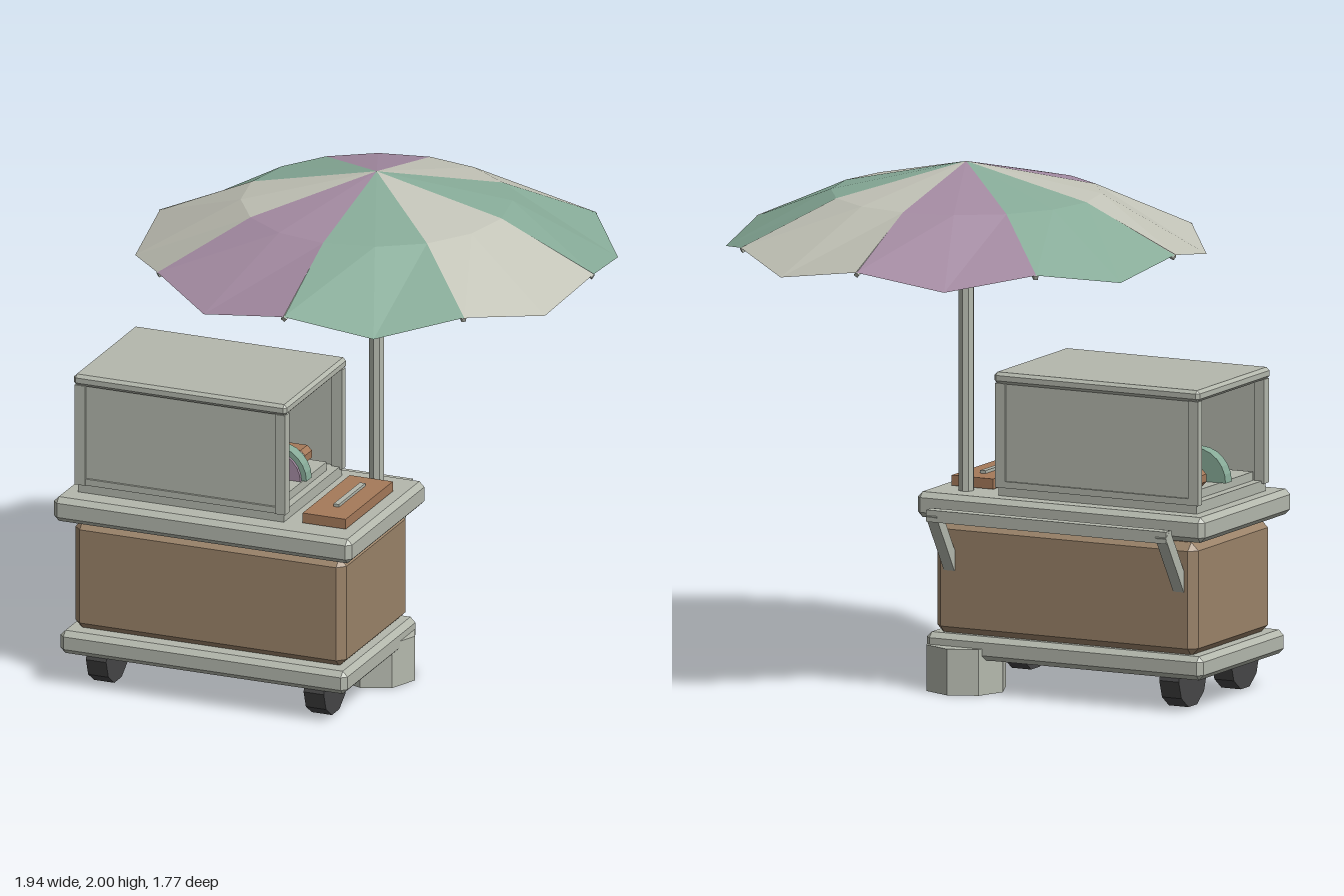
import * as THREE from 'three';
import { ConvexGeometry } from 'three/addons/geometries/ConvexGeometry.js';

const mat = (name, color, side = THREE.FrontSide) =>
  new THREE.MeshStandardMaterial({ name, color, side });

export function createModel() {
  const metal = mat('pale grey metal', 0xb4b8ad);
  const wood = mat('cabinet wood', 0x9b8369);
  const board = mat('board wood', 0xa57a5a);
  const rubber = mat('dark rubber', 0x464647);
  const green = mat('sage green', 0x87ab98, THREE.DoubleSide);
  const purple = mat('dusty purple', 0xa48ba2, THREE.DoubleSide);
  const cream = mat('cream cloth', 0xc2c3b7, THREE.DoubleSide);

  const model = new THREE.Group();
  model.name = 'vendingCart';

  // Adds a faceted mesh
  function add(name, geometry, material, x = 0, y = 0, z = 0, parent = model) {
    const flat = geometry.index ? geometry.toNonIndexed() : geometry;
    flat.computeVertexNormals();
    const mesh = new THREE.Mesh(flat, material);
    mesh.name = name;
    mesh.position.set(x, y, z);
    parent.add(mesh);
    return mesh;
  }

  // Box given by its limits; c is the width of the chamfer on every edge
  function box(name, material, [x0, x1], [y0, y1], [z0, z1], c = 0, parent = model) {
    const w = x1 - x0, h = y1 - y0, d = z1 - z0;
    let geometry = new THREE.BoxGeometry(w, h, d);
    if (c) {
      const points = [];
      for (const sx of [-1, 1]) for (const sy of [-1, 1]) for (const sz of [-1, 1]) {
        const X = w / 2, Y = h / 2, Z = d / 2;
        for (const [a, b, e] of [[0, c, c], [c, 0, c], [c, c, 0]])
          points.push(new THREE.Vector3(sx * (X - a), sy * (Y - b), sz * (Z - e)));
      }
      geometry = new ConvexGeometry(points);
    }
    return add(name, geometry, material, (x0 + x1) / 2, (y0 + y1) / 2, (z0 + z1) / 2, parent);
  }

  // Four-sided rod between two points
  function rod(name, a, b, radius, parent) {
    const dir = b.clone().sub(a);
    const mid = a.clone().add(b).multiplyScalar(0.5);
    const mesh = add(name, new THREE.CylinderGeometry(radius, radius, dir.length(), 4),
      metal, mid.x, mid.y, mid.z, parent);
    mesh.quaternion.setFromUnitVectors(new THREE.Vector3(0, 1, 0), dir.normalize());
  }

  // Cart body
  box('basePlate', metal, [-0.95, 0.215], [0.13, 0.22], [-0.095, 0.585], 0.02);
  box('cabinet', wood, [-0.915, 0.185], [0.215, 0.645], [-0.08, 0.535], 0.03);
  box('counter', metal, [-0.97, 0.24], [0.657, 0.753], [-0.122, 0.6], 0.02);

  // Wheels: the umbrella stand takes the place of the fourth
  for (const [x, z] of [[-0.805, 0.455], [0.078, 0.455], [-0.805, 0.035]]) {
    const geometry = new THREE.CylinderGeometry(0.112, 0.112, 0.082, 10)
      .rotateY(Math.PI / 10).rotateZ(Math.PI / 2).rotateX(Math.PI / 2);
    add('wheel', geometry, rubber, x, 0.116, z);
  }

  // Push handle on the back
  for (const x of [-0.848, 0.118]) {
    const arm = add('handleArm', new THREE.BoxGeometry(0.045, 0.27, 0.045), metal, x, 0.585, -0.137);
    arm.rotation.x = -0.57;
  }
  box('handleBar', metal, [-0.87, 0.14], [0.665, 0.71], [-0.225, -0.18]);

  // Display case, open at both ends
  const display = new THREE.Group();
  display.name = 'displayCase';
  model.add(display);
  box('caseFloor', metal, [-0.905, -0.07], [0.753, 0.795], [-0.045, 0.505], 0, display);
  box('caseRoof', metal, [-0.92, -0.055], [1.178, 1.222], [-0.06, 0.52], 0.012, display);
  for (const [x0, x1] of [[-0.915, -0.873], [-0.102, -0.06]])
    for (const [z0, z1] of [[-0.055, -0.02], [0.475, 0.515]])
      box('casePost', metal, [x0, x1], [0.785, 1.18], [z0, z1], 0, display);
  for (const z of [-0.04, 0.495])
    box('casePanel', metal, [-0.875, -0.1], [0.79, 1.18], [z - 0.006, z + 0.006], 0, display);
  for (const z of [-0.045, 0.5])
    box('caseLowerRail', metal, [-0.875, -0.1], [0.785, 0.81], [z - 0.01, z + 0.01], 0, display);
  box('tray', metal, [-0.87, -0.1], [0.795, 0.828], [0.03, 0.47], 0, display);

  // Food in the case
  const halfDisc = (radius, depth) => new THREE.ExtrudeGeometry(
    new THREE.Shape().absarc(0, 0, radius, 0, Math.PI, false),
    { depth, bevelEnabled: false, curveSegments: 6 });
  for (const x of [-0.77, -0.49, -0.21]) {
    add('foldedSnack', halfDisc(0.125, 0.05), green, x, 0.828, 0.205, display);
    add('snackFilling', halfDisc(0.105, 0.012), purple, x, 0.828, 0.255, display);
    box('bun', board, [x - 0.09, x + 0.06], [0.828, 0.893], [0.035, 0.135], 0.018, display);
  }

  // Cutting board with a knife
  box('cuttingBoard', board, [0, 0.175], [0.756, 0.795], [0.045, 0.49]);
  box('knife', metal, [0.078, 0.1], [0.795, 0.806], [0.13, 0.38]);

  // Umbrella
  const umbrella = new THREE.Group();
  umbrella.name = 'umbrella';
  umbrella.position.x = 0.09;
  model.add(umbrella);
  add('umbrellaStand', new THREE.CylinderGeometry(0.155, 0.155, 0.175, 8), metal, 0, 0.0875, 0, umbrella);
  add('pole', new THREE.CylinderGeometry(0.03, 0.03, 1.67, 8), metal, 0, 0.995, 0, umbrella);

  const polar = (r, y, step) => new THREE.Vector3(
    r * Math.cos(step * Math.PI / 8), y, r * Math.sin(step * Math.PI / 8));
  const apex = new THREE.Vector3(0, 2, 0);
  const middle = (s) => polar(0.507, 1.886, s);
  // The rim sags between ribs
  const rim = (s) => (s % 2 ? polar(0.9, 1.663, s) : polar(0.88, 1.718, s));
  const cloth = [cream, green, purple, cream, green, purple, cream, green];
  cloth.forEach((material, i) => {
    const points = [];
    for (const s of [2 * i, 2 * i + 1]) {
      const [m0, m1, r0, r1] = [middle(s), middle(s + 1), rim(s), rim(s + 1)];
      points.push(apex, m1, m0, m0, m1, r1, m0, r1, r0);
    }
    add('canopyPanel', new THREE.BufferGeometry().setFromPoints(points), material, 0, 0, 0, umbrella);
    // Rib under each seam
    const drop = (v) => v.setY(v.y - 0.014);
    rod('rib', drop(polar(0.01, 1.995, 2 * i)), drop(middle(2 * i)), 0.012, umbrella);
    rod('rib', drop(middle(2 * i)), drop(polar(0.878, 1.722, 2 * i)), 0.012, umbrella);
  });

  return model;
}
